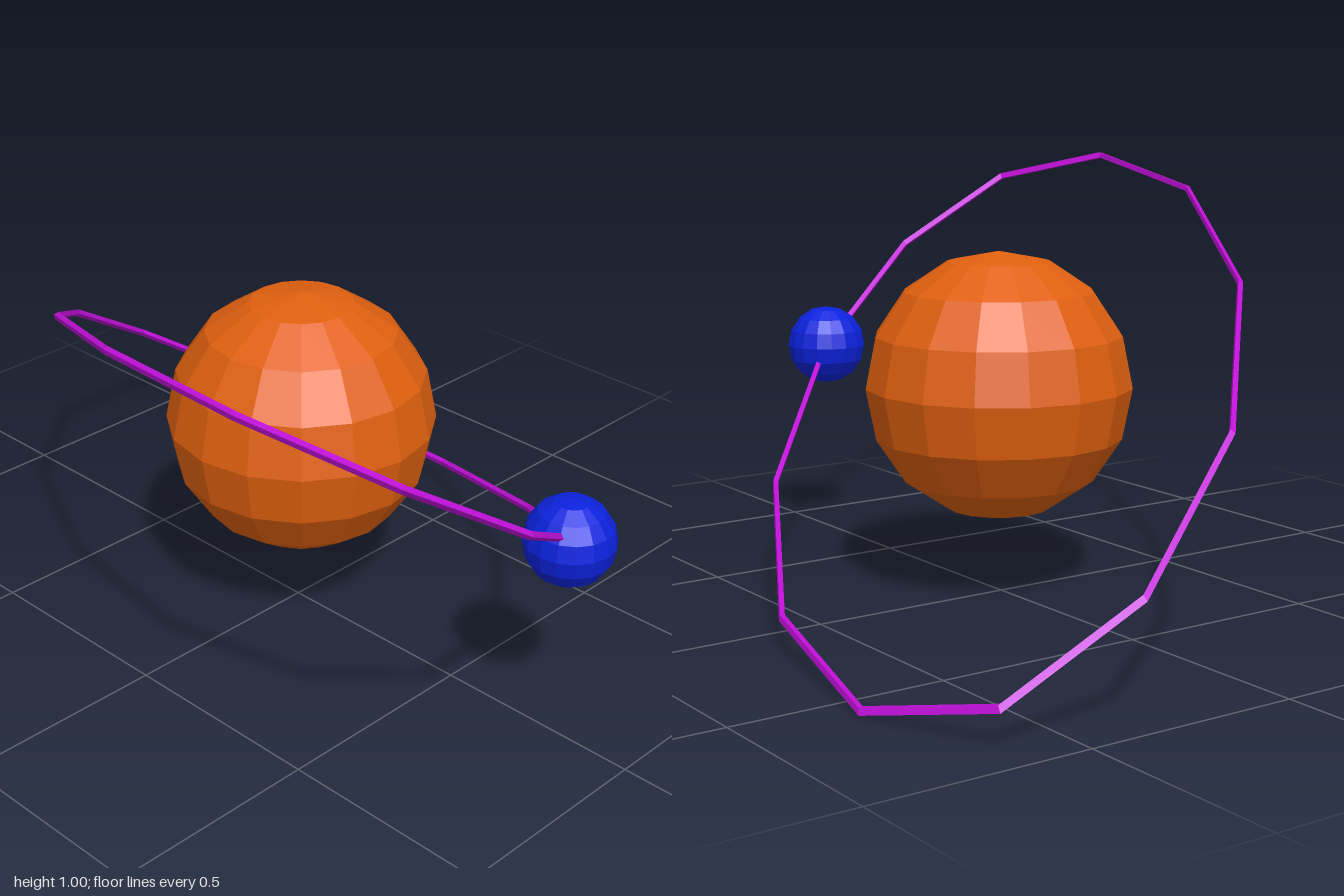
import * as THREE from 'three';

function addPart(group, name, geometry, color) {
  const material = new THREE.MeshStandardMaterial({ color, flatShading: true });
  const mesh = new THREE.Mesh(geometry, material);
  mesh.name = name;
  group.add(mesh);
  return mesh;
}

export function createModel() {
  const group = new THREE.Group();
  group.name = 'planetWithOrbit';

  // Faceted planet and its small moon
  addPart(group, 'planet', new THREE.SphereGeometry(0.318, 16, 8), 0xe0600f)
    .position.set(0, 0.5, 0.01);
  addPart(group, 'moon', new THREE.SphereGeometry(0.102, 16, 8), 0x0b22dd)
    .position.set(0, 0.5, 0.81);

  // Orbit: a thin twelve-sided torus stretched into a tilted ellipse
  const axisA = new THREE.Vector3(0.36, -0.236, -0.98);
  const axisB = new THREE.Vector3(0.66, -0.43, -0.11);
  const normal = axisA.clone().cross(axisB).setLength(0.75);
  const stretch = new THREE.Matrix4().makeBasis(axisA, axisB, normal);
  const ring = new THREE.TorusGeometry(1, 0.0125, 4, 12).applyMatrix4(stretch);
  addPart(group, 'orbitRing', ring, 0xc010d8).position.y = 0.5;

  return group;
}
